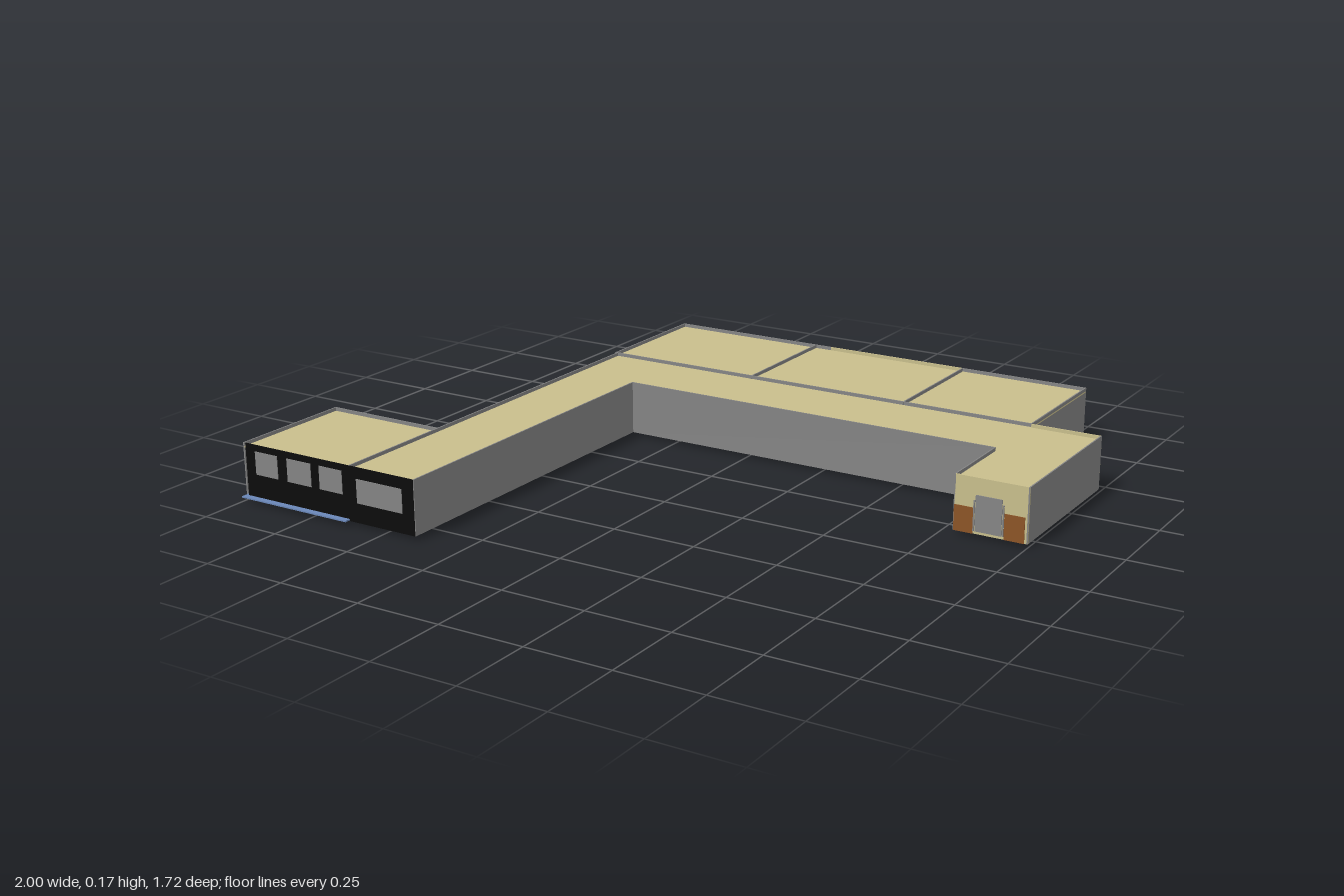
import * as THREE from 'three';

const mat = (name, color) => {
  const m = new THREE.MeshStandardMaterial({ color });
  m.name = name;
  return m;
};

export function createModel() {
  const model = new THREE.Group();
  model.name = 'lowBuilding';
  const tan = mat('tan', 0xc8be8c), grey = mat('grey', 0x848484), black = mat('black', 0x0b0b0b);
  const brown = mat('brown', 0x8c5426), blue = mat('blue', 0x6a87b8);

  // Box given by its extents on each axis
  const block = (name, m, x0, x1, y0, y1, z0, z1) => {
    const mesh = new THREE.Mesh(new THREE.BoxGeometry(x1 - x0, y1 - y0, z1 - z0), m);
    mesh.position.set((x0 + x1) / 2, (y0 + y1) / 2, (z0 + z1) / 2);
    mesh.name = name;
    model.add(mesh);
  };
  const T = 0.004, BOTTOM = 0.01, TOP = 0.168, FLOOR = 0.018, ROOF = 0.158;
  // Thin walls: along x at depth z, or along z at position x
  const wallX = (name, m, x0, x1, z, y0 = BOTTOM, y1 = TOP, t = T) => block(name, m, x0, x1, y0, y1, z - t / 2, z + t / 2);
  const wallZ = (name, m, x, z0, z1, y0 = BOTTOM, y1 = TOP, t = T) => block(name, m, x - t / 2, x + t / 2, y0, y1, z0, z1);

  // Floor and sunken roof slabs for each area: [name, floor colour, x0, x1, z0, z1]
  const areas = [
    ['classroomLeft', tan, 0.385, 0.79, -0.855, -0.447],
    ['classroomMiddle', tan, -0.13, 0.385, -0.855, -0.447],
    ['classroomRight', tan, -0.628, -0.13, -0.855, -0.447],
    ['corridor', grey, -0.62, 0.998, -0.445, -0.2],
    ['entranceWing', grey, 0.787, 0.998, -0.2, 0.053],
    ['frontArm', grey, -0.62, -0.402, -0.2, 0.84],
    ['frontRoom', blue, -0.998, -0.622, 0.46, 0.84],
  ];
  for (const [name, m, x0, x1, z0, z1] of areas) {
    block(name + 'Floor', m, x0, x1, FLOOR - T, FLOOR, z0, z1);
    block(name + 'Roof', tan, x0, x1, ROOF - T, ROOF, z0, z1);
  }
  block('frontStep', blue, -1, -0.625, 0.012, 0.016, 0.46, 0.86);

  // Classroom walls and dividers
  wallZ('classroomEndWall', grey, 0.788, -0.857, -0.445, 0.014);
  wallZ('classroomEndWall', grey, -0.628, -0.857, -0.445, 0.014);
  for (const x of [0.385, -0.13]) wallZ('classroomDivider', grey, x, -0.857, -0.445);
  wallX('classroomFrontWall', grey, -0.628, 0.788, -0.449, 0.014);
  wallX('rearWallLeft', grey, 0.387, 0.79, -0.857, 0.014);
  wallX('rearWallMiddle', tan, -0.075, 0.383, -0.857, 0.014);
  wallX('rearWallRight', grey, -0.63, -0.075, -0.857, 0.014);

  // Rear glazed doors: black frame with grey panes
  for (const x of [0.67, 0.497, 0.288, -0.04, -0.247, -0.51]) {
    wallX('rearDoorFrame', black, x - 0.036, x + 0.036, -0.8605, 0.018, 0.16, 0.003);
    for (const s of [-1, 1]) {
      wallX('rearDoorPane', grey, x + s * 0.012 - 0.008, x + s * 0.012 + 0.008, -0.8625, 0.098, 0.13, 0.001);
    }
    wallX('rearDoorPanel', grey, x - 0.008, x + 0.02, -0.8625, 0.052, 0.075, 0.001);
  }

  // Corridor, wing and arm outer walls
  wallX('corridorRearWall', tan, -0.62, 0.79, -0.445, BOTTOM, ROOF);
  wallX('wingRearWall', tan, 0.79, 1, -0.445);
  wallX('corridorFrontWall', grey, -0.402, 0.787, -0.2);
  wallZ('wingOuterWall', grey, 0.998, -0.447, 0.055);
  wallZ('wingInnerWall', grey, 0.787, -0.2, 0.055);
  wallZ('armInnerWall', grey, -0.402, -0.2, 0.84);
  wallZ('armOuterWall', grey, -0.622, -0.447, 0.84);

  // Brown wainscot with tan plaster above, inside the corridors
  for (const [m, y0, y1] of [[brown, BOTTOM, 0.083], [tan, 0.083, ROOF - T]]) {
    wallZ('armLining', m, -0.618, -0.443, 0.838, y0, y1);
    wallX('corridorLining', m, -0.404, 0.785, -0.204, y0, y1);
    wallZ('armInnerLining', m, -0.406, -0.204, 0.838, y0, y1);
    wallZ('wingLining', m, 0.791, -0.2, 0.05, y0, y1);
  }

  // Door sills just under the floor
  wallX('corridorSill', brown, 0.13, 0.215, -0.442, 0.003, 0.02);
  wallX('corridorSill', tan, 0.32, 0.48, -0.442, 0.005, 0.02);
  for (const z of [-0.2, 0.255]) wallZ('armSill', grey, -0.62, z - 0.038, z + 0.038, 0, 0.02);
  wallZ('armDoor', brown, -0.624, -0.09, -0.03, 0.018, 0.13, 0.003);

  // Wing entrance: tan above brown, with a grey double door
  wallX('entranceWall', tan, 0.787, 1, 0.053);
  for (const [x0, x1] of [[0.787, 0.843], [0.932, 0.99]]) {
    wallX('entranceWainscot', brown, x0, x1, 0.056, BOTTOM, 0.083, 0.002);
  }
  wallX('entranceDoor', grey, 0.849, 0.925, 0.0565, 0.018, 0.12, 0.003);
  for (const x of [0.845, 0.929]) wallX('entranceJamb', grey, x - 0.002, x + 0.002, 0.0565, 0.018, 0.105, 0.003);

  // Front room walls
  wallZ('frontRoomSideWall', grey, -0.998, 0.46, 0.84, 0.014);
  wallX('frontRoomRearWall', grey, -1, -0.62, 0.46, 0.014);

  // Black front facade with grey windows
  wallX('facade', black, -0.99, -0.402, 0.84);
  const windows = [[-0.955, -0.875, 0.083, 0.15], [-0.84, -0.755, 0.083, 0.15],
    [-0.725, -0.645, 0.083, 0.15], [-0.595, -0.44, 0.067, 0.136]];
  for (const [x0, x1, y0, y1] of windows) wallX('facadeWindow', grey, x0, x1, 0.843, y0, y1, 0.002);

  return model;
}
